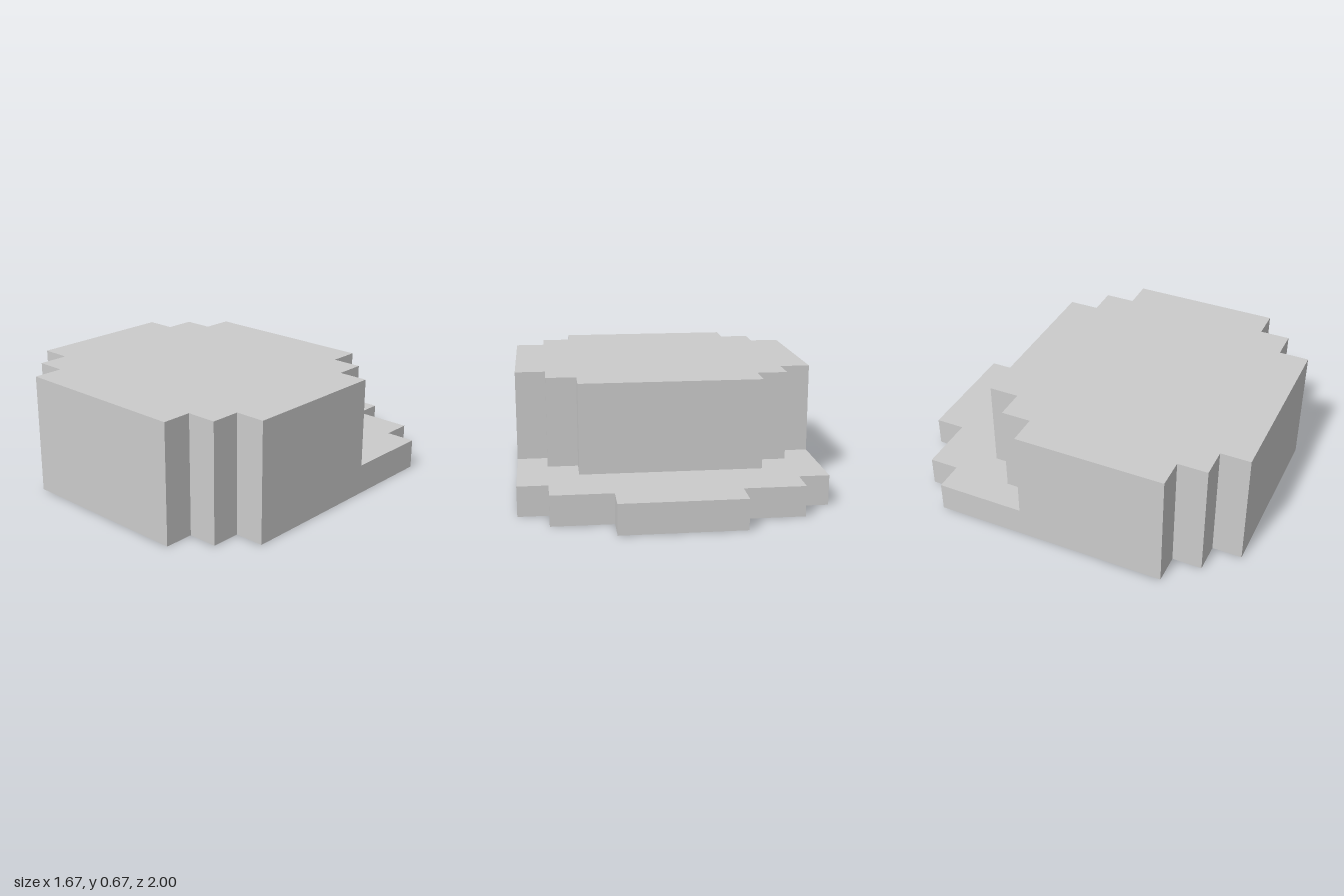
import * as THREE from 'three';

const U = 1 / 6; // one grid step

// Symmetric stepped outline from rows of [half width, z start, z end], in grid steps
function outline(rows) {
  const side = rows.flatMap(([w, z0, z1]) => [[w, z0], [w, z1]]);
  const mirrored = side.map(([x, z]) => [-x, z]).reverse();
  return [...side, ...mirrored].map(([x, z]) => new THREE.Vector2(x * U, z * U));
}

// Upright slab of an outline between two heights, with an optional opening
function slab(name, rows, y0, y1, holeRows) {
  const shape = new THREE.Shape(outline(rows));
  if (holeRows) shape.holes.push(new THREE.Path(outline(holeRows)));
  const geometry = new THREE.ExtrudeGeometry(shape, { depth: (y1 - y0) * U, bevelEnabled: false });
  geometry.rotateX(Math.PI / 2); // shape y becomes z, depth runs down
  geometry.translate(0, y1 * U, 0);
  const mesh = new THREE.Mesh(geometry, new THREE.MeshStandardMaterial({ color: 0xcccccc, flatShading: true }));
  mesh.name = name;
  return mesh;
}

export function createModel() {
  const front = [[4, 4, 5], [3, 5, 6]];
  const crown = [[3, -3, -2], [4, -2, -1], [5, -1, 4], ...front];
  const base = [[2, -6, -5], [4, -5, -4], [5, -4, 4], ...front];
  const cavity = [[2, -2, -1], [3, -1, 0], [4, 0, 3], [3, 3, 4], [2, 4, 5]];

  const cap = new THREE.Group();
  cap.name = 'cap';
  cap.add(
    slab('brim', base, 0, 1, cavity), // bottom layer, reaching out at the back
    slab('crownWall', crown, 1, 3, cavity), // hollow middle
    slab('crownTop', crown, 3, 4), // closed top
  );
  return cap;
}
